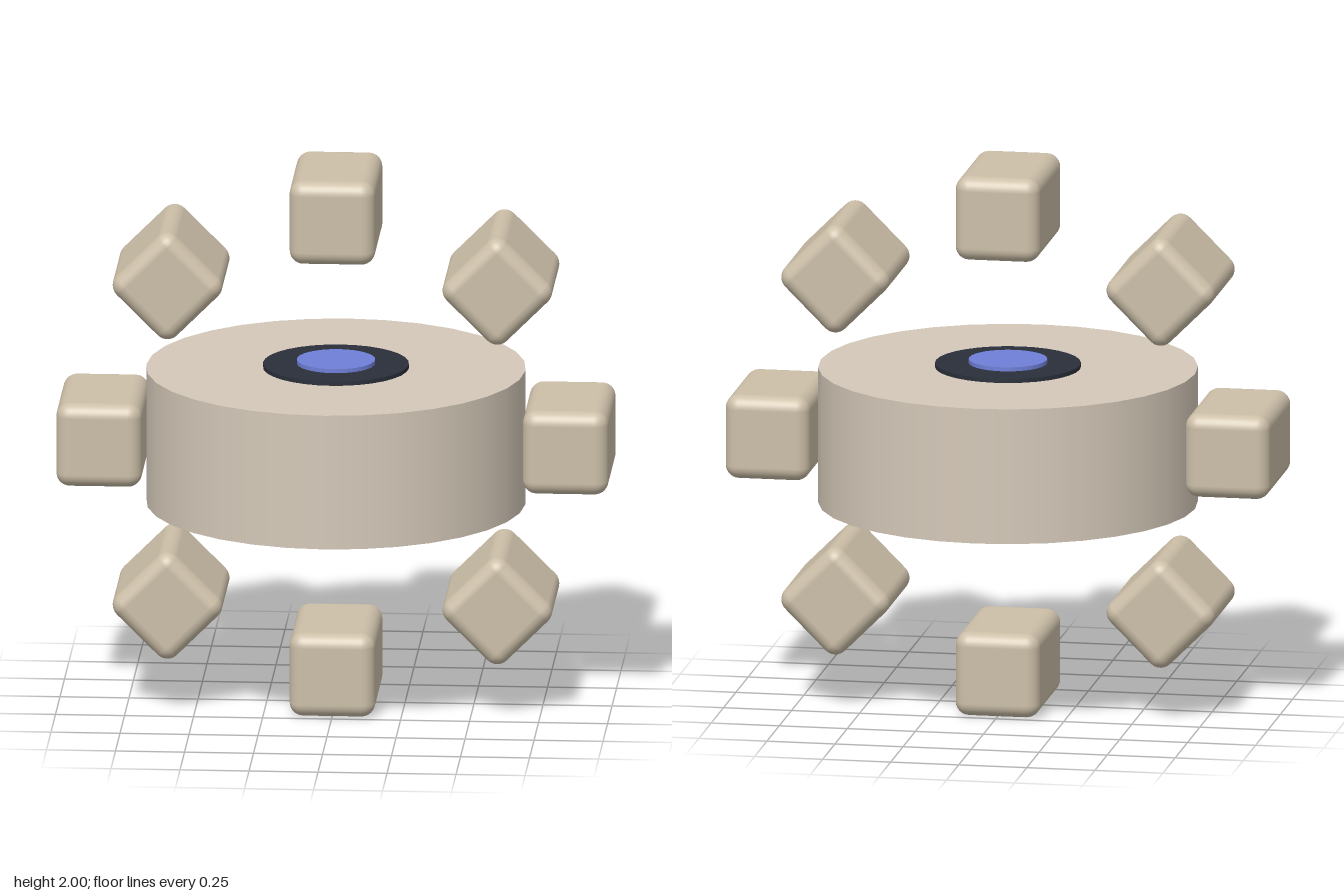
import * as THREE from 'three';
import { RoundedBoxGeometry } from 'three/addons/geometries/RoundedBoxGeometry.js';

export function createModel() {
  const model = new THREE.Group();
  const centre = 1;
  const paint = (color) => new THREE.MeshStandardMaterial({ color });

  // Upright drum, hub plate and core, each running through the one outside it
  const addDisc = (name, radius, height, color) => {
    const disc = new THREE.Mesh(new THREE.CylinderGeometry(radius, radius, height, 32), paint(color));
    disc.name = name;
    disc.position.y = centre;
    model.add(disc);
  };
  addDisc('drum', 0.687, 0.5, 0xd4c8b8);
  addDisc('hubPlate', 0.264, 0.53, 0x2a2f3a);
  addDisc('core', 0.142, 0.56, 0x6f7fd8);

  // Ring of eight rounded blocks in the front plane, each turned to face outward
  const ring = new THREE.Group();
  ring.name = 'blockRing';
  ring.position.y = centre;
  const blockGeometry = new RoundedBoxGeometry(0.31, 0.31, 0.5, 4, 0.05);
  const blockMaterial = paint(0xccbfa8);
  const count = 8;
  const ringRadius = 0.845;
  for (let i = 0; i < count; i++) {
    const angle = (i / count) * Math.PI * 2;
    const block = new THREE.Mesh(blockGeometry, blockMaterial);
    block.name = `block${i + 1}`;
    block.position.set(Math.cos(angle) * ringRadius, Math.sin(angle) * ringRadius, 0);
    block.rotation.z = angle;
    ring.add(block);
  }
  model.add(ring);

  return model;
}
